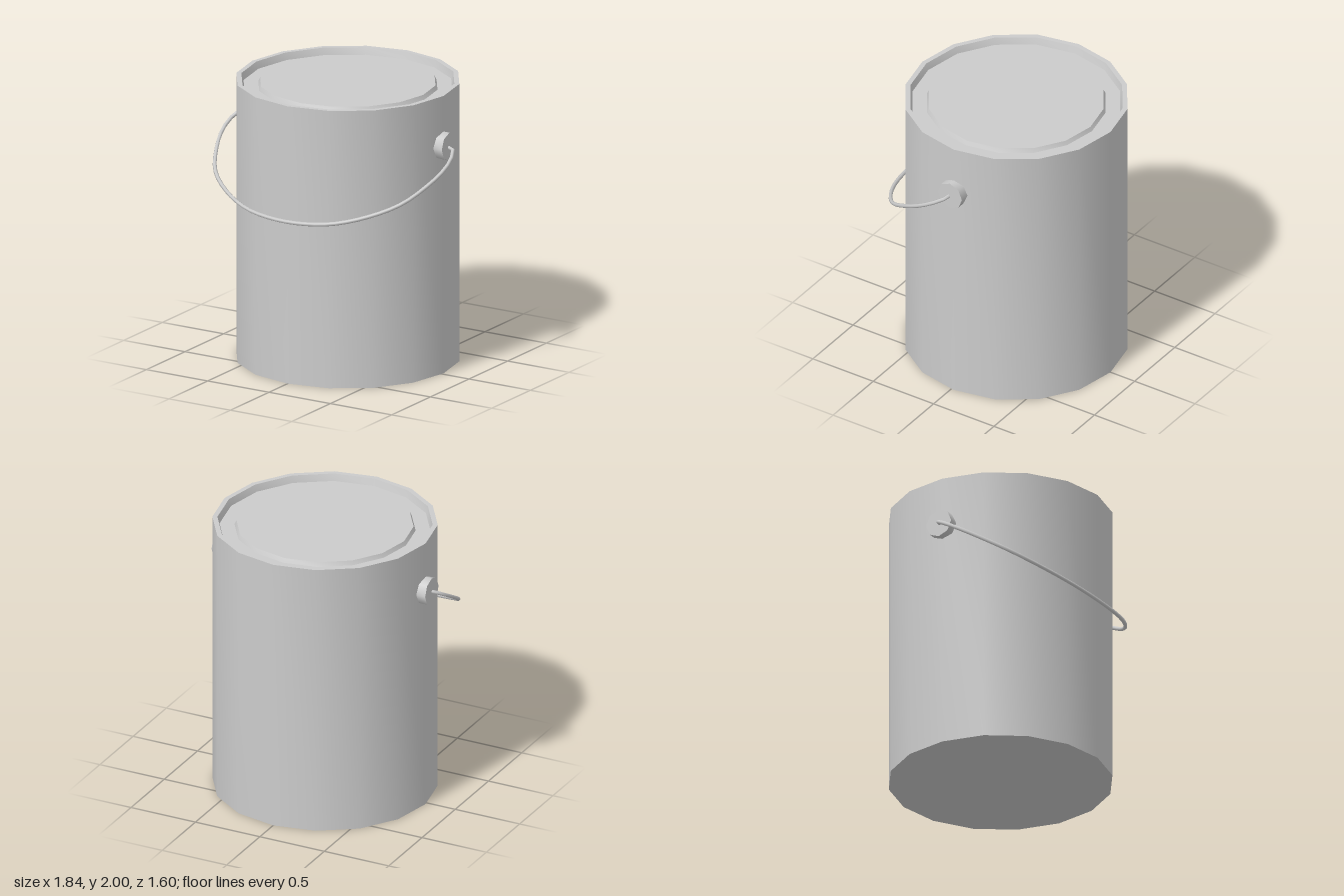
import * as THREE from 'three';
import { toCreasedNormals } from 'three/addons/utils/BufferGeometryUtils.js';

const MAT = new THREE.MeshStandardMaterial({ color: 0xcccccc });
const AXIS_Z = -0.02; // the can sits slightly back, the handle hangs forward
const PIVOT_Y = 1.643;

function part(name, geometry, crease) {
  const mesh = new THREE.Mesh(crease ? toCreasedNormals(geometry, crease) : geometry, MAT);
  mesh.name = name;
  return mesh;
}

const lathe = (profile) =>
  new THREE.LatheGeometry(profile.map(([r, y]) => new THREE.Vector2(r, y)), 16);

export function createModel() {
  const model = new THREE.Group();
  model.name = 'paintCan';

  // 16-sided can with a raised rim
  const body = part('canBody', lathe([
    [0, 0], [0.78, 0], [0.78, 2], [0.745, 2], [0.73, 1.95],
  ]), 0.6);

  // Lid: ring groove around a raised centre plate
  const lid = part('lid', lathe([
    [0.73, 1.95], [0.627, 1.95], [0.613, 1.98], [0, 1.98],
  ]), 0.6);

  for (const mesh of [body, lid]) {
    mesh.position.z = AXIS_Z;
    model.add(mesh);
  }

  // Eight-sided ears on both sides
  for (const side of [1, -1]) {
    const geometry = new THREE.CylinderGeometry(0.101, 0.101, 0.12, 8);
    geometry.rotateZ(Math.PI / 2);
    const ear = part(side > 0 ? 'leftEar' : 'rightEar', geometry, 1.0);
    ear.position.set(side * 0.769, PIVOT_Y, AXIS_Z);
    model.add(ear);
  }

  // Wire handle: half outline as (x, distance from the pivot), mirrored
  const half = [
    [0.8, 0], [0.835, 0.005], [0.87, 0.025], [0.9, 0.11], [0.902, 0.22], [0.868, 0.36],
    [0.76, 0.59], [0.575, 0.76], [0.35, 0.88], [0.12, 0.928],
  ];
  const outline = [...half, ...half.map(([x, s]) => [-x, s]).reverse()];
  const tilt = Math.PI / 6;
  const path = new THREE.CatmullRomCurve3(outline.map(([x, s]) =>
    new THREE.Vector3(x, PIVOT_Y - s * Math.sin(tilt), AXIS_Z + s * Math.cos(tilt))));
  model.add(part('handle', new THREE.TubeGeometry(path, 40, 0.014, 6)));

  return model;
}
